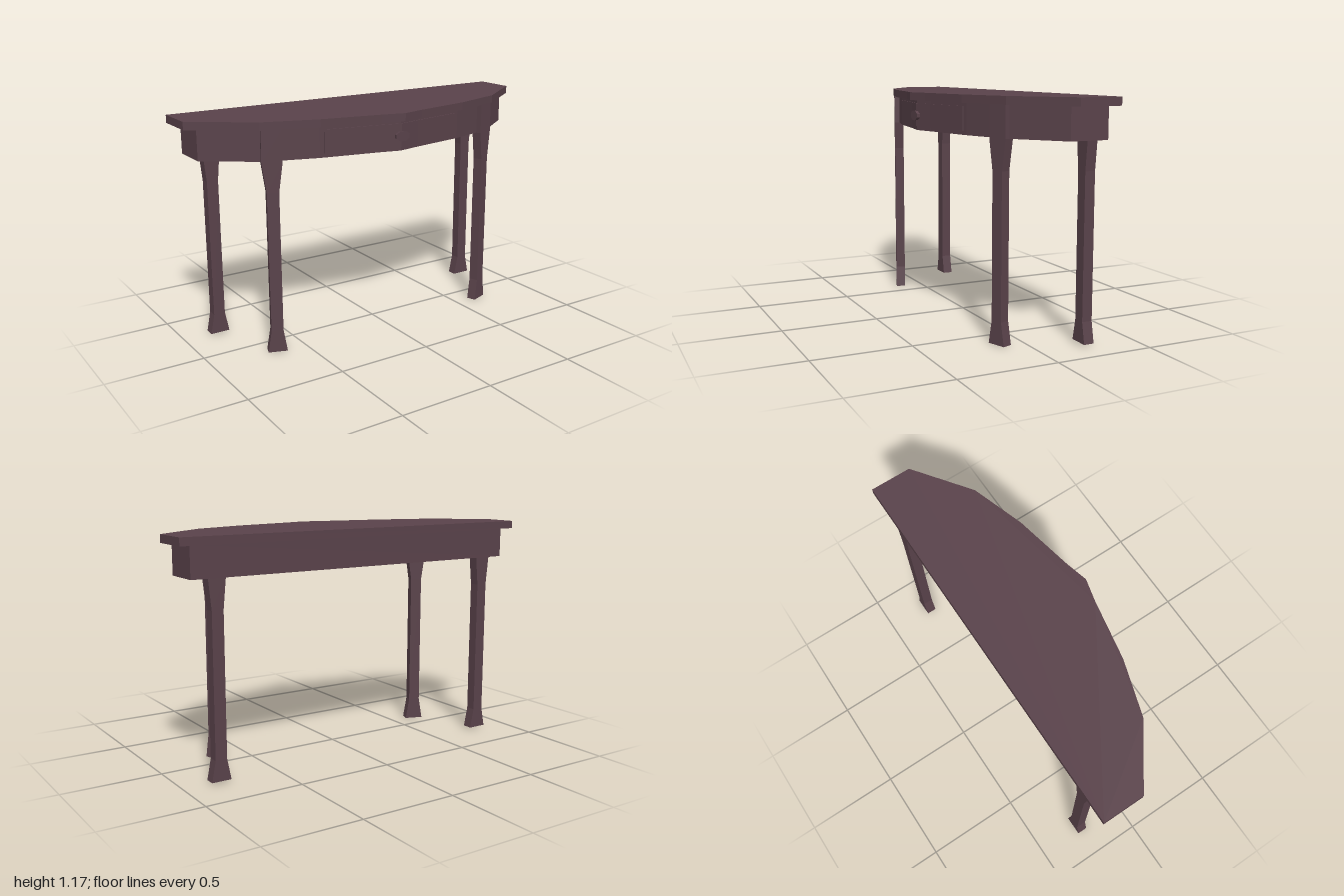
import * as THREE from 'three';

const wood = new THREE.MeshStandardMaterial({ color: 0x59424a });
wood.name = 'dark wood';

// Plan outline from its +x half (front centre to back), mirrored to -x, raised from y0 to y1
function slab(name, half, y0, y1) {
  const mirrored = half.filter(([x]) => x > 0).map(([x, z]) => [-x, z]).reverse();
  const shape = new THREE.Shape([...mirrored, ...half].map(([x, z]) => new THREE.Vector2(x, -z)));
  const geo = new THREE.ExtrudeGeometry(shape, { depth: y1 - y0, bevelEnabled: false });
  geo.rotateX(-Math.PI / 2).translate(0, y0, 0);
  const mesh = new THREE.Mesh(geo, wood);
  mesh.name = name;
  return mesh;
}

// Square leg whose width follows [y, width] stations
function leg(name, stations, depth) {
  let geo = new THREE.BoxGeometry(1, stations.length - 1, depth, 1, stations.length - 1, 1);
  const p = geo.attributes.position;
  for (let i = 0; i < p.count; i++) {
    const [y, w] = stations[Math.round(p.getY(i) + (stations.length - 1) / 2)];
    p.setXYZ(i, p.getX(i) * w, y, p.getZ(i));
  }
  geo = geo.toNonIndexed();
  geo.computeVertexNormals();
  const mesh = new THREE.Mesh(geo, wood);
  mesh.name = name;
  return mesh;
}

export function createModel() {
  const table = new THREE.Group();
  table.name = 'consoleTable';

  // Bowed top and the apron set in beneath it
  table.add(slab('tableTop',
    [[0, 0.3], [0.12, 0.27], [0.43, 0.21], [0.71, 0.12], [1, -0.09], [1, -0.305]], 1.135, 1.175));
  table.add(slab('apron',
    [[0, 0.262], [0.12, 0.235], [0.42, 0.18], [0.685, 0.102], [0.94, -0.08], [0.94, -0.277]], 0.98, 1.135));

  // Drawer front standing slightly proud of the apron, with an oval knob
  table.add(slab('drawerFront',
    [[0, 0.268], [0.12, 0.241], [0.4, 0.19], [0.396, 0.17], [0.12, 0.22]], 1.0, 1.118));
  const knobGeo = new THREE.CylinderGeometry(0.027, 0.024, 0.02, 8).toNonIndexed();
  knobGeo.rotateY(Math.PI / 8).rotateX(Math.PI / 2).scale(1.6, 1, 1);
  knobGeo.computeVertexNormals();
  const knob = new THREE.Mesh(knobGeo, wood);
  knob.name = 'drawerKnob';
  knob.position.set(0, 1.056, 0.27);
  table.add(knob);

  // Front legs turn outward with the bow and run up over the apron; back legs stop below it
  for (const side of [1, -1]) {
    const label = side > 0 ? 'Left' : 'Right';
    const front = leg('front' + label + 'Leg',
      [[0, 0.098], [0.115, 0.06], [0.83, 0.06], [0.98, 0.102], [1.135, 0.098]], 0.05);
    front.position.set(side * 0.648, 0, 0.112);
    front.rotation.y = side * 0.34;
    const back = leg('back' + label + 'Leg',
      [[0.01, 0.102], [0.115, 0.06], [0.83, 0.06], [0.98, 0.09]], 0.053);
    back.position.set(side * 0.81, 0, -0.251);
    table.add(front, back);
  }
  return table;
}
